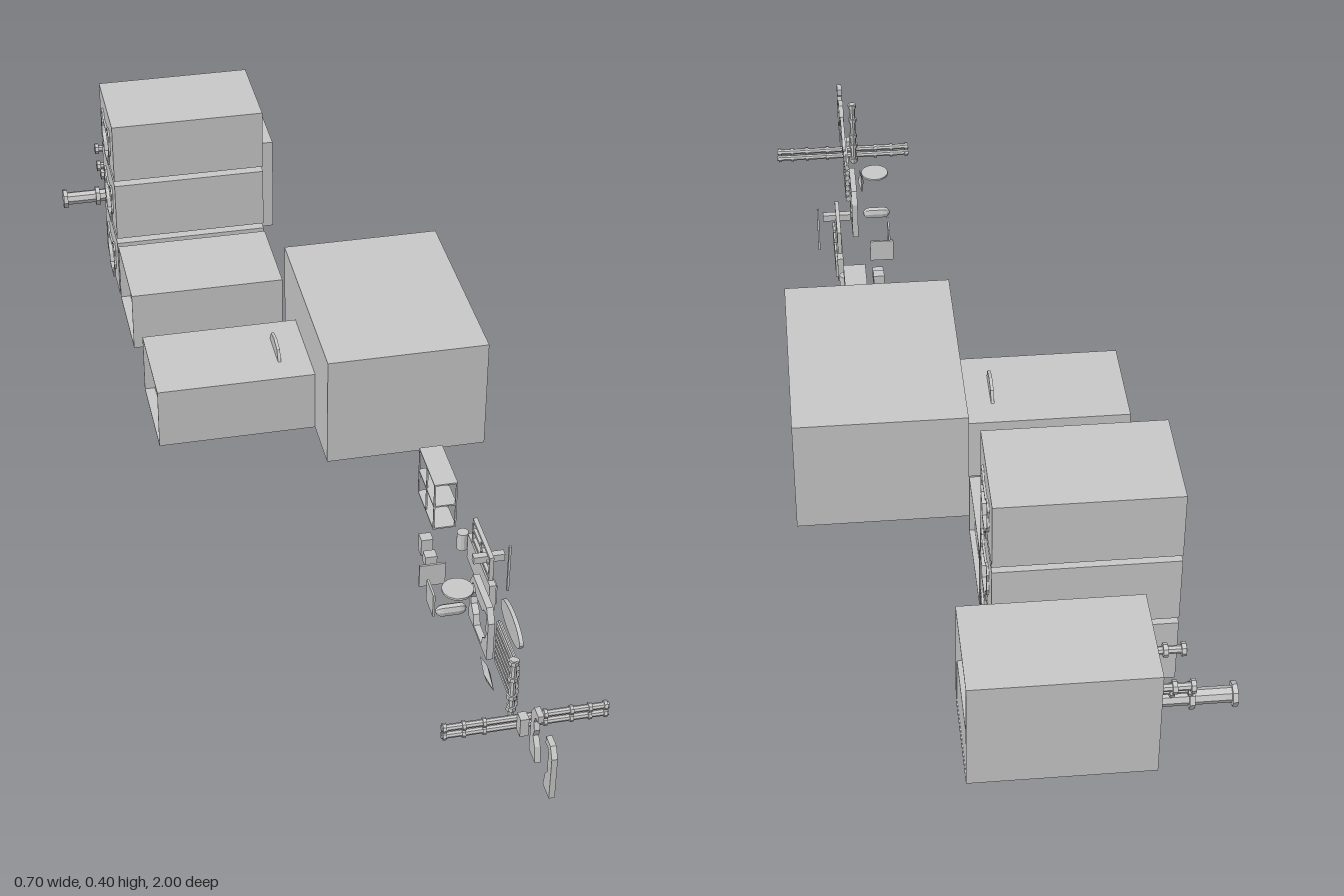
import * as THREE from 'three';

const grey = new THREE.MeshStandardMaterial({ color: 0xcccccc, flatShading: true, side: THREE.DoubleSide });

// right half of the doorway outline, bottom to top, centred on z
const DOOR = [[0.024, 0.006], [0.03, 0.026], [0.046, 0.038], [0.05, 0.05], [0.045, 0.064], [0.05, 0.08], [0.042, 0.09], [0.03, 0.088], [0.02, 0.078]];

export function createModel() {
  const root = new THREE.Group();
  let parent = root;

  const add = (name, geo, x = 0, y = 0, z = 0) => {
    const m = new THREE.Mesh(geo, grey);
    m.name = name;
    m.position.set(x, y, z);
    parent.add(m);
    return m;
  };
  const group = (name, build) => {
    const g = new THREE.Group();
    g.name = name;
    root.add(g);
    parent = g;
    build();
    parent = root;
  };
  // box given by its limits on each axis
  const block = (name, x0, x1, y0, y1, z0, z1) =>
    add(name, new THREE.BoxGeometry(x1 - x0, y1 - y0, z1 - z0), (x0 + x1) / 2, (y0 + y1) / 2, (z0 + z1) / 2);
  const outline = pts => pts.map(p => new THREE.Vector2(p[0], p[1]));
  const rect = (w, y0, y1) => outline([[-w, y0], [w, y0], [w, y1], [-w, y1]]);
  const door = (s = 1) => {
    const half = DOOR.map(([u, v]) => [u * s, 0.05 + (v - 0.05) * s]);
    return outline([...half, ...half.slice().reverse().map(([u, v]) => [-u, v])]);
  };
  // upright plate facing along x, with an optional hole
  const plate = (name, pts, hole, x, depth, y, z) => {
    const s = new THREE.Shape(pts);
    if (hole) s.holes.push(new THREE.Path(hole));
    const g = new THREE.ExtrudeGeometry(s, { depth, bevelEnabled: false, curveSegments: 16 });
    g.rotateY(Math.PI / 2);
    return add(name, g, x, y, z);
  };
  // four walls, open at both x ends
  const shell = (name, x0, x1, y, h, z, w, t = 0.003) =>
    plate(name, rect(w, 0, h), rect(w - t, t, h - t), x0, x1 - x0, y, z);
  const shutter = (x, y, z, w, h, n) => {
    block('shutterPanel', x, x + 0.003, y, y + h, z - w, z + w);
    for (let i = 0; i < n; i++) {
      const y0 = y + (i + 0.15) * h / n;
      block('shutterSlat', x - 0.003, x + 0.006, y0, y0 + 0.7 * h / n, z - w, z + w);
    }
  };
  // pipe with collars, along x or y
  const pipe = (name, axis, a, b, r, p, collars, cr = r * 1.45, cw = 0.008) => {
    const bit = (n, c, len, rad) => {
      const g = new THREE.CylinderGeometry(rad, rad, len, 8);
      if (axis === 'x') add(n, g.rotateZ(Math.PI / 2), c, p[0], p[1]);
      else add(n, g, p[0], c, p[1]);
    };
    bit(name, (a + b) / 2, b - a, r);
    collars.forEach(c => bit('pipeCollar', c, cw, cr));
  };

  // stack of three closed corridor units with a doorway at each end
  for (let i = 0; i < 3; i++) group('stackedCorridor', () => {
    const y = i * 0.1375, z = -0.7;
    shell('corridorWalls', -0.27, 0.04, y, 0.126, z, 0.096);
    for (const [x, fx] of [[-0.27, -0.274], [0.036, 0.04]]) {
      plate('endWall', rect(0.094, 0.002, 0.124), door(), x, 0.004, y, z);
      plate('doorTrim', door(1.12), door(), fx, 0.004, y, z);
    }
  });

  // separate corridor with ribs and a closed shutter
  group('shutterCorridor', () => {
    const z = -0.495;
    shell('corridorWalls', -0.27, 0.04, 0, 0.126, z, 0.096);
    for (const x of [-0.25, -0.12, 0.022]) plate('doorRib', rect(0.093, 0.003, 0.123), door(), x, 0.008, 0, z);
    shutter(0.01, 0.006, z, 0.052, 0.088, 7);
  });

  // tall service room with raised floor and pipework at one end
  group('serviceRoom', () => {
    const z = -0.905;
    shell('roomWalls', -0.21, 0.1, 0, 0.21, z, 0.094);
    block('raisedFloor', -0.205, 0.098, 0.086, 0.09, -0.996, -0.814);
    block('lowerWall', 0.09, 0.098, 0.003, 0.088, -0.996, -0.814);
    plate('innerWall', rect(0.091, 0.003, 0.118), door(), 0.083, 0.006, 0.09, z);
    plate('backWall', rect(0.091, 0.003, 0.118), door(), -0.2, 0.006, 0.09, z);
    block('lowerBackWall', -0.2, -0.194, 0.003, 0.088, -0.996, -0.814);
    shutter(0.072, 0.098, z, 0.05, 0.085, 7);
    shutter(-0.185, 0.098, z, 0.05, 0.085, 7);
    pipe('mainPipe', 'x', -0.35, -0.2, 0.014, [0.066, z], [-0.346, -0.275, -0.22], 0.021, 0.009);
    for (const [dz, y] of [[-0.058, 0.15], [0.035, 0.14], [-0.035, 0.12]])
      pipe('sidePipe', 'x', -0.27, -0.19, 0.007, [y, z + dz], [-0.265, -0.235], 0.012);
  });

  // entry corridor leading into the hall
  group('entryCorridor', () => {
    const z = -0.155;
    shell('corridorWalls', -0.27, 0.04, 0, 0.126, z, 0.096);
    for (const x of [-0.25, -0.11]) plate('doorRib', rect(0.093, 0.003, 0.123), door(), x, 0.008, 0, z);
    const fin = plate('roofFin', outline([[-0.042, 0], [0.042, 0], [0.03, 0.022], [0, 0.028], [-0.03, 0.022]]), null, -0.025, 0.006, 0.125, z);
    fin.name = 'roofFin';
  });

  // large hall, open to the right, with furnishings
  group('mainHall', () => {
    const z = -0.1525;
    shell('hallWalls', 0.037, 0.348, 0, 0.229, z, 0.2075);
    plate('backWall', rect(0.2045, 0.003, 0.226), door(), 0.037, 0.006, 0, z);
    plate('doorTrim', door(1.15), door(), 0.043, 0.006, 0, z);
    block('wallShelf', 0.043, 0.065, 0.118, 0.122, -0.34, 0.035);
    for (let i = 0; i < 7; i++) block('wallLocker', 0.043, 0.06, 0.122, 0.145, -0.325 + i * 0.047, -0.286 + i * 0.047);
    for (const pz of [-0.345, 0.028]) {
      block('pillar', 0.05, 0.07, 0.003, 0.226, pz - 0.002, pz + 0.016);
      for (const y of [0.02, 0.1, 0.19]) block('pillarBand', 0.046, 0.075, y, y + 0.015, pz - 0.005, pz + 0.02);
    }
    block('console', 0.06, 0.11, 0.003, 0.055, -0.03, 0.035);
    block('consoleScreen', 0.06, 0.07, 0.055, 0.085, -0.025, 0.03);
    for (let i = 0; i < 3; i++) for (let j = 0; j < 2; j++)
      block('crate', 0.24, 0.275, 0.004 + j * 0.032, 0.033 + j * 0.032, -0.295 + i * 0.03, -0.268 + i * 0.03);
    for (const x of [0.1, 0.18, 0.26]) block('ceilingBeam', x, x + 0.012, 0.216, 0.226, -0.357, 0.052);
  });

  // rack with three shelves
  group('shelfRack', () => {
    for (const y of [0, 0.051, 0.1]) block('shelf', 0.185, 0.229, y, y + 0.003, 0.18, 0.296);
    for (const x of [0.185, 0.226]) for (const z of [0.18, 0.237, 0.293]) block('rackPost', x, x + 0.003, 0, 0.102, z, z + 0.003);
  });

  // small loose containers
  block('smallBox', 0.145, 0.167, 0, 0.036, 0.345, 0.366);
  block('smallBox', 0.145, 0.167, 0, 0.022, 0.378, 0.398);
  add('canister', new THREE.CylinderGeometry(0.011, 0.011, 0.036, 12), 0.225, 0.018, 0.356);

  // equipment bench with an upper rail
  group('equipmentBench', () => {
    block('benchBody', 0.226, 0.238, 0, 0.055, 0.385, 0.535);
    for (let i = 0; i < 4; i++) block('benchPanel', 0.238, 0.242, 0.008, 0.048, 0.39 + i * 0.037, 0.418 + i * 0.037);
    for (const y of [0.058, 0.08, 0.1]) block('rail', 0.228, 0.236, y, y + 0.006, 0.405, 0.52);
    for (const z of [0.405, 0.46, 0.514]) block('railPost', 0.228, 0.236, 0.055, 0.106, z, z + 0.006);
    block('crossPanel', 0.205, 0.262, 0.08, 0.094, 0.487, 0.5);
    block('endPost', 0.27, 0.274, 0.005, 0.106, 0.492, 0.497);
  });
  block('thinPanel', 0.12, 0.168, 0.003, 0.05, 0.448, 0.452);
  block('thinSidePanel', 0.124, 0.128, 0.003, 0.05, 0.488, 0.535);

  // seat and floating round top
  const seat = add('seatBack', new THREE.CapsuleGeometry(0.013, 0.03, 3, 8).rotateZ(Math.PI / 2), 0.148, 0.042, 0.566);
  seat.scale.z = 0.6;
  add('roundTop', new THREE.CylinderGeometry(0.028, 0.028, 0.004, 16), 0.148, 0.118, 0.602);

  // free-standing doorway frame
  plate('doorwayFrame', outline([[-0.06, 0], [0.06, 0], [0.06, 0.08], [0.045, 0.105], [-0.045, 0.105], [-0.06, 0.08]]),
    door(), 0.188, 0.012, 0, 0.6);

  // shutter, oval hatch and blade
  group('looseShutter', () => shutter(0.202, 0.003, 0.728, 0.058, 0.093, 7));
  add('ovalHatch', new THREE.CylinderGeometry(1, 1, 0.007, 24).rotateZ(Math.PI / 2).scale(1, 0.024, 0.058), 0.208, 0.138, 0.728);
  add('leafBlade', new THREE.OctahedronGeometry(1).scale(0.006, 0.018, 0.045), 0.173, 0.022, 0.717);

  // long twin pipe and upright pipe
  group('pipeRun', () => {
    const stops = [0.067, 0.1, 0.135, 0.2, 0.24, 0.285, 0.317, 0.344];
    for (const y of [0.013, 0.029]) pipe('longPipe', 'x', 0.062, 0.35, 0.006, [y, 0.838], stops, 0.0085, 0.006);
    pipe('uprightPipe', 'y', 0, 0.15, 0.006, [0.183, 0.828], [0.008, 0.045, 0.07, 0.11, 0.145], 0.009);
    block('valve', 0.19, 0.205, 0.008, 0.045, 0.842, 0.862);
  });

  // pair of door jambs
  for (const s of [-1, 1]) plate('doorJamb', outline(
    [[0.058, 0], [0.058, 0.085], [0.046, 0.104], [0.022, 0.104], [0.022, 0.09], [0.036, 0.09], [0.042, 0.075], [0.037, 0.06],
      [0.042, 0.045], [0.03, 0.03], [0.024, 0]].map(([u, v]) => [u * s, v])), null, 0.2, 0.01, 0, 0.942);

  return root;
}
